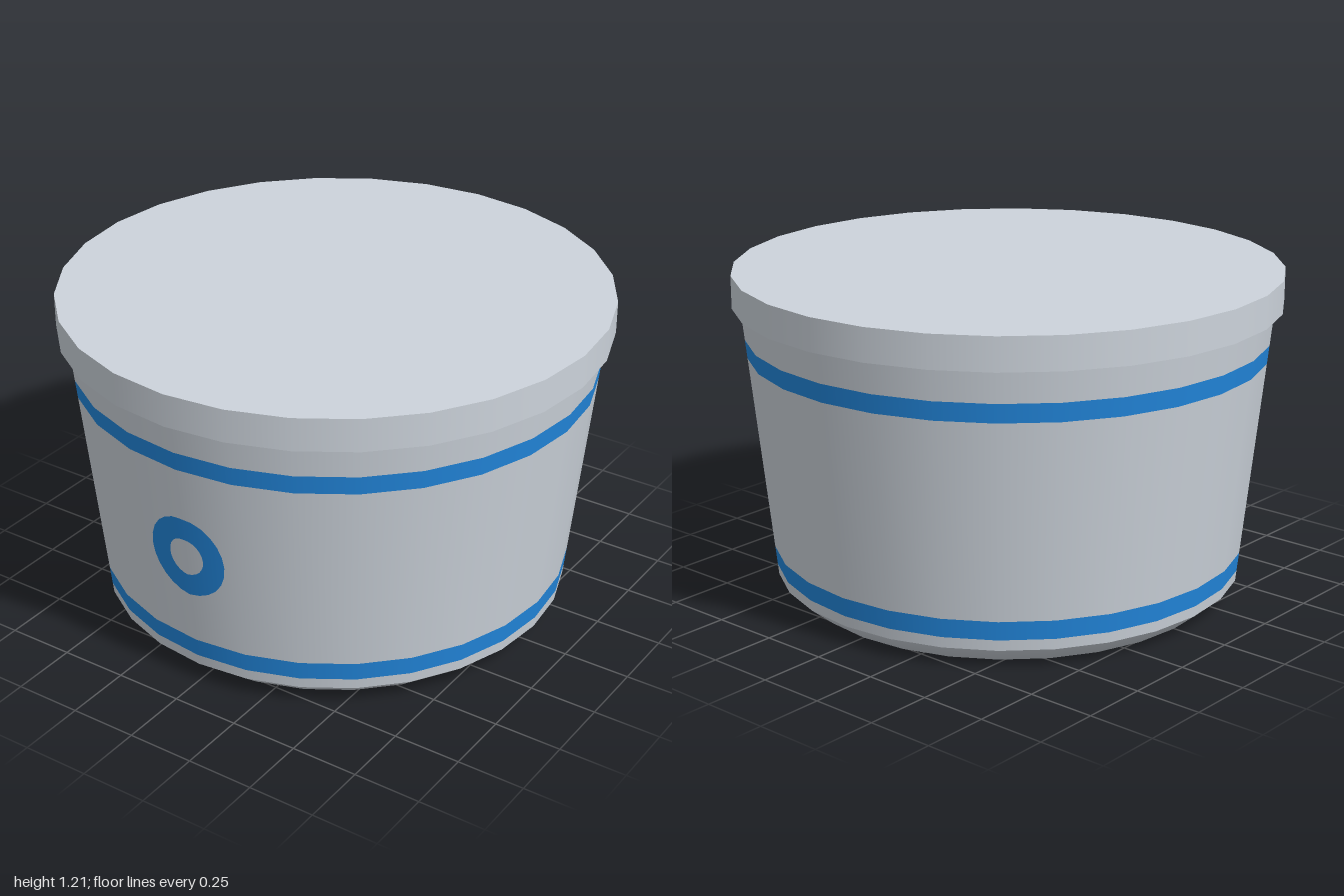
import * as THREE from 'three';

const SIDES = 28;
const wallRadius = y => 0.865 + (y - 0.07) * 0.103;

export function createModel() {
  const grey = new THREE.MeshStandardMaterial({ color: 0xccd3db });
  grey.name = 'pale grey';
  const blue = new THREE.MeshStandardMaterial({ color: 0x2287dd });
  blue.name = 'blue';

  const tub = new THREE.Group();
  tub.name = 'tub';

  const add = (name, geometry, material) => {
    const mesh = new THREE.Mesh(geometry, material);
    mesh.name = name;
    tub.add(mesh);
  };
  // Each lathe is smooth within itself and creased against its neighbours
  const turn = (name, points, material) =>
    add(name, new THREE.LatheGeometry(points.map(p => new THREE.Vector2(...p)), SIDES), material);
  const wall = (name, y0, y1, material) =>
    turn(name, [[wallRadius(y0), y0], [wallRadius(y1), y1]], material);

  // Base with bevelled edge
  turn('base', [[0, 0], [0.78, 0], [0.865, 0.07]], grey);

  // Tapered wall, split where the painted bands run
  wall('lowerWall', 0.07, 0.11, grey);
  wall('lowerBand', 0.11, 0.18, blue);
  wall('middleWall', 0.18, 0.905, grey);
  wall('upperBand', 0.905, 0.973, blue);
  wall('upperWall', 0.973, 1.09, grey);

  // Lid
  turn('lidUnderside', [[wallRadius(1.09), 1.09], [1, 1.09]], grey);
  turn('lidRim', [[1, 1.09], [1, 1.21]], grey);
  turn('lidTop', [[1, 1.21], [0, 1.21]], grey);

  // Painted ring on the front, laid onto the wall facets
  const ring = new THREE.RingGeometry(0.07, 0.153, 24, 1);
  const pos = ring.attributes.position;
  const normal = ring.attributes.normal;
  const half = Math.PI / SIDES;
  for (let i = 0; i < pos.count; i++) {
    const x = pos.getX(i), y = 0.545 + pos.getY(i) * 1.05;
    const z = wallRadius(y) - Math.abs(x) * Math.tan(half) + 0.004;
    pos.setXYZ(i, x, y, z);
    const n = new THREE.Vector3(x, -0.103 * z, z).normalize();
    normal.setXYZ(i, n.x, n.y, n.z);
  }
  add('frontRing', ring, blue);

  return tub;
}
